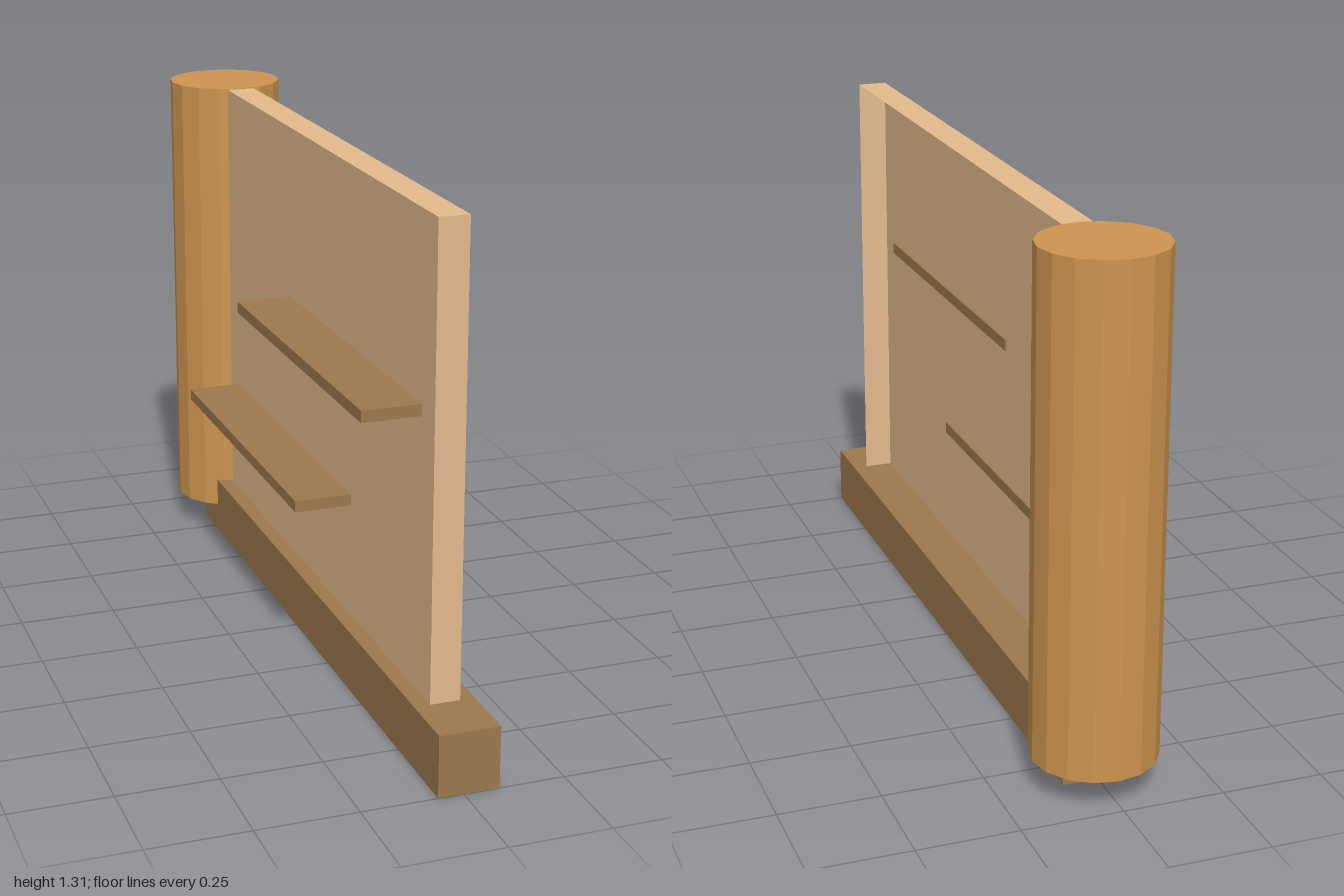
import * as THREE from 'three';

export function createModel() {
  const group = new THREE.Group();
  const lightWood = new THREE.MeshStandardMaterial({ color: 0xe3ba8b, side: THREE.DoubleSide });
  const darkWood = new THREE.MeshStandardMaterial({ color: 0x9c784d });
  const logWood = new THREE.MeshStandardMaterial({ color: 0xcd944f, flatShading: true });
  lightWood.name = 'lightWood';
  darkWood.name = 'darkWood';
  logWood.name = 'logWood';

  // Box spanning [min, max] on each axis
  function box(name, material, [x0, x1], [y0, y1], [z0, z1]) {
    const mesh = new THREE.Mesh(new THREE.BoxGeometry(x1 - x0, y1 - y0, z1 - z0), material);
    mesh.position.set((x0 + x1) / 2, (y0 + y1) / 2, (z0 + z1) / 2);
    mesh.name = name;
    group.add(mesh);
    return mesh;
  }

  // Base beam
  box('baseBeam', darkWood, [-0.063, 0.088], [0, 0.156], [-0.845, 1]);

  // Upright panel: a shallow tray, open on its +x side (the first box face is dropped)
  const panel = box('wallPanel', lightWood, [-0.024, 0.051], [0.15, 1.309], [-0.692, 0.848]);
  panel.geometry.setIndex([...panel.geometry.index.array].slice(6));
  panel.geometry.clearGroups();

  // Shelves poke slightly through the panel's back sheet
  box('upperShelf', darkWood, [-0.169, -0.019], [0.833, 0.862], [-0.153, 0.77]);
  box('lowerShelf', darkWood, [-0.169, -0.019], [0.45, 0.479], [-0.612, 0.311]);

  // Round post at the back end
  const post = new THREE.Mesh(new THREE.CylinderGeometry(0.153, 0.153, 1.23, 16), logWood);
  post.position.set(0.0135, 0.695, -0.847);
  post.name = 'roundPost';
  group.add(post);

  return group;
}
